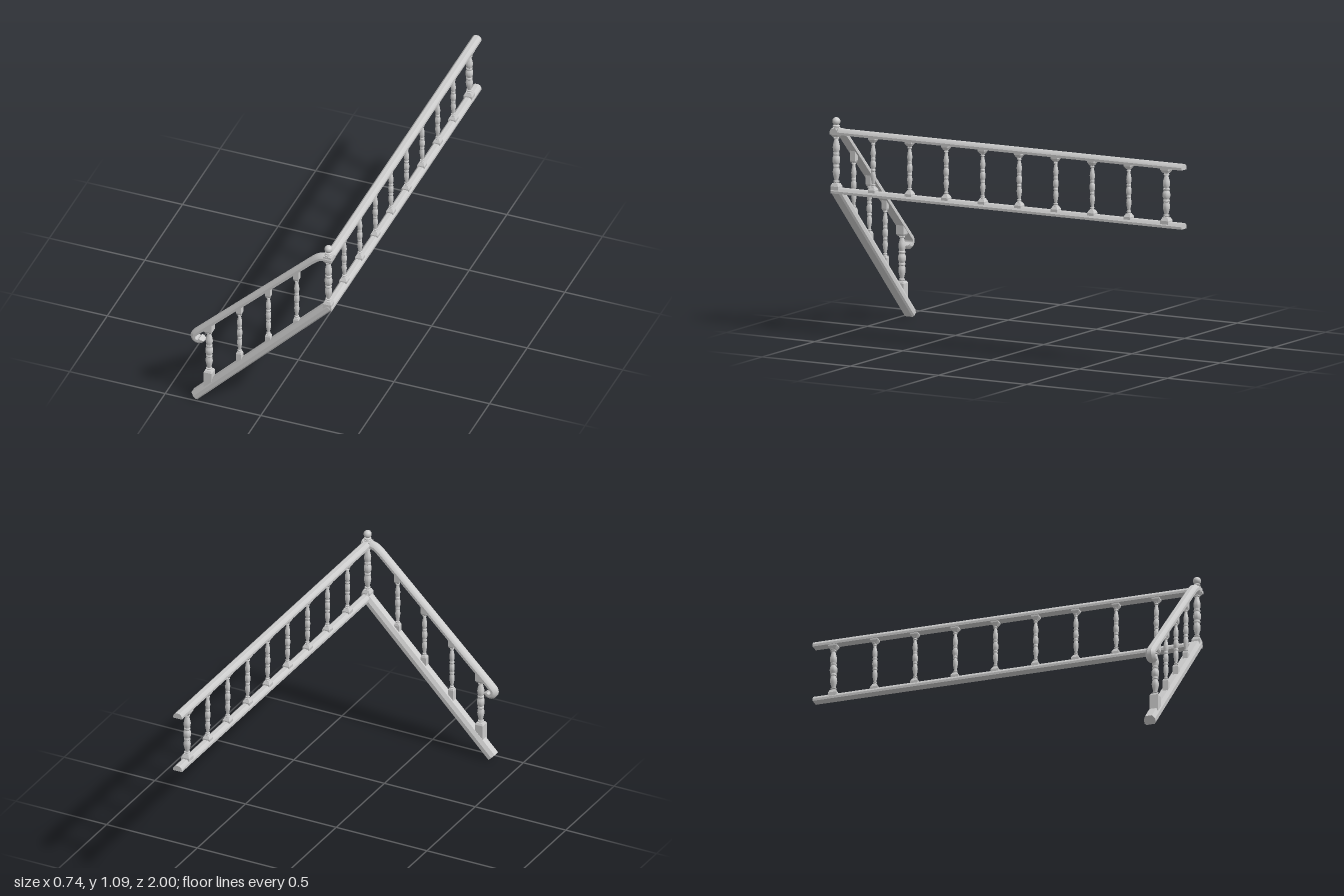
import * as THREE from 'three';
import { toCreasedNormals } from 'three/addons/utils/BufferGeometryUtils.js';

const mat = new THREE.MeshStandardMaterial({ color: 0xcccccc, roughness: 0.8 });
const X = 0.343, Z = 0.971; // corner post position
const SLOPE = 0.968;

function add(parent, name, geo, x = 0, y = 0, z = 0) {
  const mesh = new THREE.Mesh(geo, mat);
  mesh.name = name;
  mesh.position.set(x, y, z);
  parent.add(mesh);
  return mesh;
}

// Sweeps a convex profile of [side, height] points along a path
function sweep(path, profile, side) {
  const pos = [], index = [], n = profile.length, last = path.length - 1;
  path.forEach((p, i) => {
    const t = path[Math.min(i + 1, last)].clone().sub(path[Math.max(i - 1, 0)]).normalize();
    const up = t.clone().cross(side);
    for (const [s, h] of profile) {
      pos.push(...p.clone().addScaledVector(side, s).addScaledVector(up, h).toArray());
    }
  });
  for (let i = 0; i < last; i++) {
    for (let j = 0; j < n; j++) {
      const a = i * n + j, b = i * n + (j + 1) % n;
      index.push(a, b, b + n, a, b + n, a + n);
    }
  }
  for (let j = 1; j < n - 1; j++) {
    index.push(0, j + 1, j, last * n, last * n + j, last * n + j + 1);
  }
  const geo = new THREE.BufferGeometry();
  geo.setAttribute('position', new THREE.Float32BufferAttribute(pos, 3));
  geo.setIndex(index);
  return toCreasedNormals(geo, 0.5);
}

// Half of the symmetric turning: [fraction from the middle, fraction of radius]
const TURNING = [
  [0, 1], [0.1, 0.97], [0.15, 0.82], [0.19, 0.72], [0.22, 0.85], [0.28, 0.86], [0.31, 0.7],
  [0.42, 0.9], [0.52, 0.95], [0.62, 0.86], [0.74, 0.68], [0.86, 0.5], [0.88, 0.78],
  [0.92, 0.78], [0.935, 0.58], [0.955, 0.58], [0.97, 0.86], [1, 0.86],
];

function turnedShaft(radius, y0, y1) {
  const mid = (y0 + y1) / 2, half = (y1 - y0) / 2;
  const up = TURNING.map(([t, r]) => new THREE.Vector2(r * radius, mid + t * half));
  const down = TURNING.slice(1).reverse().map(([t, r]) => new THREE.Vector2(r * radius, mid - t * half));
  return toCreasedNormals(new THREE.LatheGeometry([...down, ...up], 14), 0.7);
}

// Square block; its top or bottom face may lean with the stair
function block(w, y0, y1, leanBottom = 0, leanTop = 0) {
  const geo = new THREE.BoxGeometry(w, 1, w);
  const p = geo.attributes.position;
  for (let i = 0; i < p.count; i++) {
    const top = p.getY(i) > 0;
    p.setY(i, (top ? y1 : y0) + p.getX(i) * (top ? leanTop : leanBottom));
  }
  geo.computeVertexNormals();
  return geo;
}

// Square frustum between two widths
function flare(w0, w1, y0, y1) {
  const geo = new THREE.CylinderGeometry(w1 * Math.SQRT1_2, w0 * Math.SQRT1_2, y1 - y0, 4);
  geo.rotateY(Math.PI / 4).translate(0, (y0 + y1) / 2, 0);
  return toCreasedNormals(geo, 0.3);
}

const handrailBottom = (x) => 0.385 + (x + 0.344) * SLOPE;
const stairRailTop = (x) => 0.035 + (x + 0.371) * 1.012;

// Upright of the sloping flight, its blocks cut to the rails
function stairUpright(name, x, middle, radius, w) {
  const g = new THREE.Group();
  g.name = name;
  g.position.set(x, 0, Z);
  const y0 = middle - 0.117, y1 = middle + 0.117;
  add(g, 'shaft', turnedShaft(radius, y0, y1));
  add(g, 'bottomBlock', block(w, stairRailTop(x) - 0.015, y0 - 0.006, 1, 0));
  add(g, 'bottomChamfer', flare(w, w * 0.75, y0 - 0.006, y0 + 0.004));
  add(g, 'topChamfer', flare(w * 0.75, w, y1 - 0.006, y1 + 0.004));
  add(g, 'topBlock', block(w, y1 + 0.004, handrailBottom(x) + 0.008, 0, SLOPE));
  return g;
}

// Upright of the level run, with flared feet and heads
function levelUpright(name, z, radius, w) {
  const g = new THREE.Group();
  g.name = name;
  g.position.set(X, 0, z);
  add(g, 'shaft', turnedShaft(radius, 0.766, 0.99));
  add(g, 'foot', block(w, 0.735, 0.752));
  add(g, 'footFlare', flare(w, radius * 1.5, 0.752, 0.768));
  add(g, 'headFlare', flare(radius * 1.5, w, 0.987, 1.002));
  add(g, 'head', block(w, 1.002, 1.015));
  return g;
}

export function createModel() {
  const model = new THREE.Group();
  model.name = 'stairRailing';
  const v = (x, y, z) => new THREE.Vector3(x, y, z);
  const back = v(0, 0, -1), right = v(-1, 0, 0);

  // Rail profiles
  const domed = [[-0.024, 0], [0.024, 0], [0.024, 0.012], [0.019, 0.021], [0.01, 0.028],
    [-0.01, 0.028], [-0.019, 0.021], [-0.024, 0.012]];
  const beam = [[-0.021, -0.023], [0.021, -0.023], [0.029, -0.015], [0.029, 0.004],
    [0.018, 0.023], [-0.018, 0.023], [-0.029, 0.004], [-0.029, -0.015]];

  // Sloping handrail: scroll at the foot, easing to level at the corner
  const path = [];
  for (let i = 0; i <= 12; i++) {
    const a = THREE.MathUtils.degToRad(340 - (205 * i) / 12);
    path.push(v(-0.336 + 0.011 * Math.cos(a), 0.377 + 0.011 * Math.sin(a), Z));
  }
  path.push(v(-0.32, handrailBottom(-0.32), Z), v(0.27, handrailBottom(0.27), Z),
    v(0.292, 0.998, Z), v(0.305, 1.006, Z), v(0.32, 1.01, Z), v(0.369, 1.01, Z));
  add(model, 'stairHandrail', sweep(path, domed, back));

  // Sloping bottom rail
  add(model, 'stairBottomRail',
    sweep([v(-0.353, 0.0205, 0.966), v(0.35, 0.738, 0.966)], beam, back));

  // Level rails
  for (const [name, y] of [['levelHandrail', 1.01], ['levelBottomRail', 0.718]]) {
    add(model, name, sweep([v(X, y, 0.99), v(X, y, -1)], domed, right));
  }

  // Sloping flight uprights
  model.add(stairUpright('footNewel', -0.281, 0.302, 0.019, 0.043));
  [[-0.122, 0.451], [0.029, 0.594], [0.177, 0.733]].forEach(([x, mid], i) =>
    model.add(stairUpright('stairBaluster' + (i + 1), x, mid, 0.0135, 0.028)));

  // Level run uprights
  for (let i = 0; i < 8; i++) {
    model.add(levelUpright('levelBaluster' + (i + 1), 0.762 - i * 0.207, 0.0135, 0.038));
  }
  model.add(levelUpright('endNewel', -0.9, 0.019, 0.044));

  // Corner newel with ball finial
  const newel = new THREE.Group();
  newel.name = 'cornerNewel';
  newel.position.set(X, 0, Z);
  add(newel, 'shaft', turnedShaft(0.019, 0.764, 1.002));
  add(newel, 'base', block(0.043, 0.725, 0.752));
  add(newel, 'baseFlare', flare(0.043, 0.03, 0.752, 0.767));
  add(newel, 'capFlare', flare(0.028, 0.043, 0.996, 1.008));
  add(newel, 'cap', block(0.043, 1.008, 1.036));
  const collar = [[0.019, 1.034], [0.019, 1.041], [0.014, 1.044], [0.018, 1.047], [0.018, 1.052],
    [0.012, 1.056], [0.011, 1.062]].map(([r, y]) => new THREE.Vector2(r, y));
  add(newel, 'finialCollar', toCreasedNormals(new THREE.LatheGeometry(collar, 16), 0.6));
  add(newel, 'finialBall', new THREE.SphereGeometry(0.02, 18, 12), 0, 1.073, 0);
  model.add(newel);

  return model;
}
